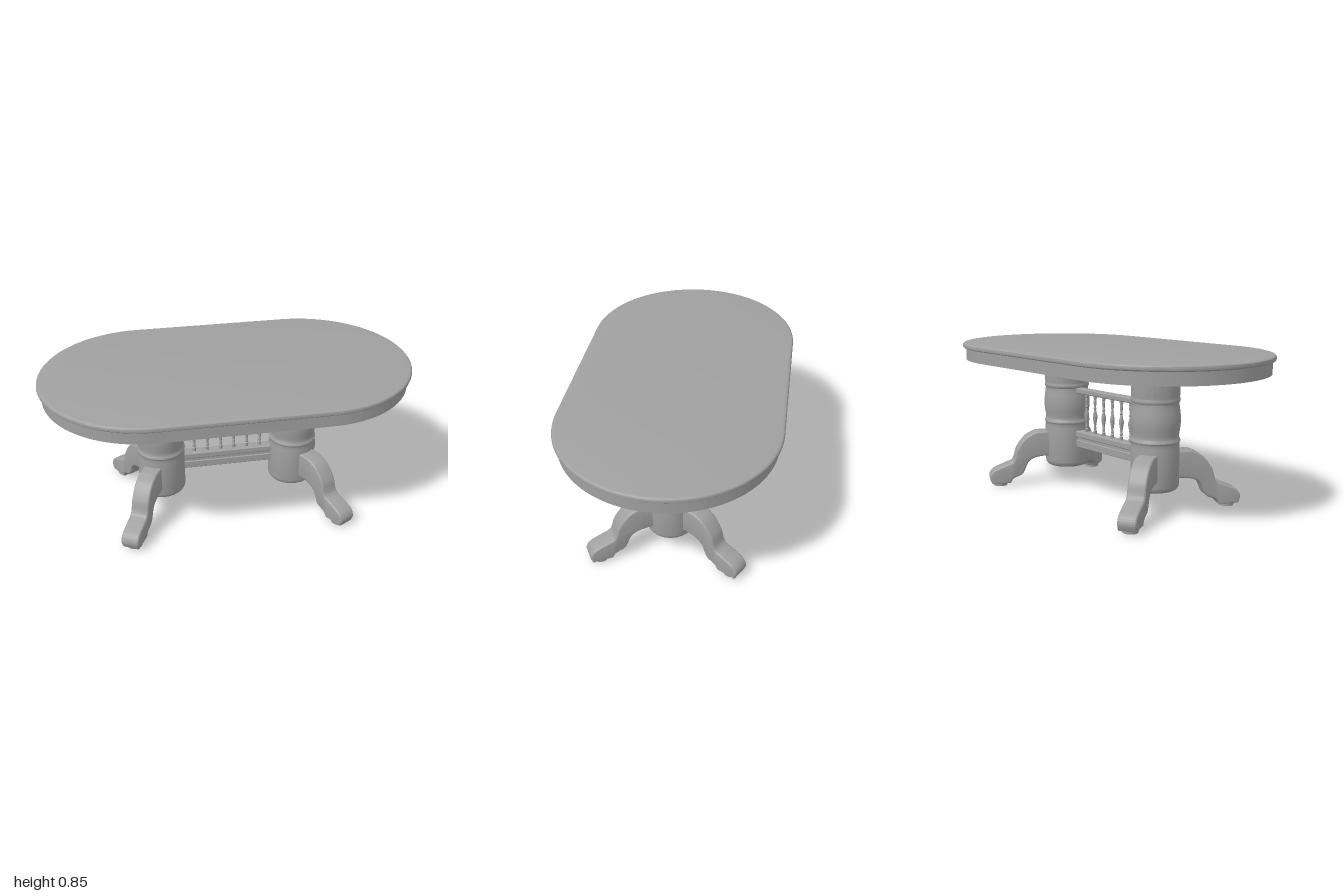
import * as THREE from 'three';
import { toCreasedNormals } from 'three/addons/utils/BufferGeometryUtils.js';
import { RoundedBoxGeometry } from 'three/addons/geometries/RoundedBoxGeometry.js';

const material = new THREE.MeshStandardMaterial({ color: 0xa0a0a0 });
const V = (x, y) => new THREE.Vector2(x, y);

function add(parent, name, geometry, x = 0, y = 0, z = 0) {
  const mesh = new THREE.Mesh(geometry, material);
  mesh.name = name;
  mesh.position.set(x, y, z);
  parent.add(mesh);
  return mesh;
}

const lathe = (points, segments) =>
  toCreasedNormals(new THREE.LatheGeometry(points.map(p => V(...p)), segments), 0.6);

// Oval outline: two half circles joined by straight sides
const HALF_STRAIGHT = 0.434;
function oval(radius, Type = THREE.Shape) {
  const path = new Type();
  path.absarc(HALF_STRAIGHT, 0, radius, -Math.PI / 2, Math.PI / 2, false);
  path.absarc(-HALF_STRAIGHT, 0, radius, Math.PI / 2, Math.PI * 1.5, false);
  path.closePath();
  return path;
}

// Flat slab lying in xz, growing upwards
function slab(shape, options) {
  const g = new THREE.ExtrudeGeometry(shape, { curveSegments: 32, ...options });
  g.rotateX(-Math.PI / 2);
  return toCreasedNormals(g, 0.6);
}

// Scrolled leg: side profile along +x, thickness centred on z
function legGeometry() {
  const thickness = 0.1, bevel = 0.01;
  const upper = [[0.19, 0.321], [0.25, 0.29], [0.303, 0.223], [0.33, 0.15],
    [0.378, 0.126], [0.445, 0.096], [0.469, 0.057], [0.457, 0.017]];
  const lower = [[0.348, 0.017], [0.328, 0.045], [0.276, 0.07], [0.241, 0.138],
    [0.2, 0.165], [0.15, 0.173]];
  const shape = new THREE.Shape();
  shape.moveTo(0.08, 0.175);
  shape.lineTo(0.08, 0.322);
  shape.lineTo(...upper[0]);
  shape.splineThru(upper.slice(1).map(p => V(...p)));
  shape.lineTo(...lower[0]);
  shape.splineThru(lower.slice(1).map(p => V(...p)));
  shape.closePath();
  const g = new THREE.ExtrudeGeometry(shape, {
    depth: thickness - 2 * bevel, curveSegments: 24,
    bevelSize: bevel, bevelThickness: bevel, bevelOffset: -bevel, bevelSegments: 3,
  });
  g.translate(0, 0, -thickness / 2 + bevel);
  return toCreasedNormals(g, 0.6);
}

export function createModel() {
  const table = new THREE.Group();
  table.name = 'pedestalTable';

  // Table top with a moulded edge
  add(table, 'tableTop', slab(oval(0.566), {
    depth: 0.002, bevelSize: 0.014, bevelThickness: 0.014, bevelOffset: -0.014, bevelSegments: 3,
  }), 0, 0.829, 0);

  // Hollow apron under the top
  const ring = oval(0.547);
  ring.holes.push(oval(0.517, THREE.Path));
  add(table, 'apron', slab(ring, { depth: 0.069, bevelEnabled: false }), 0, 0.749, 0);

  // Turned columns, each with two splayed legs
  const column = lathe([
    [0, 0.115], [0.108, 0.115], [0.119, 0.121], [0.127, 0.132], [0.13, 0.145],
    [0.13, 0.35], [0.128, 0.368], [0.13, 0.373], [0.133, 0.379], [0.132, 0.386],
    [0.127, 0.393], [0.125, 0.402], [0.127, 0.42], [0.131, 0.445], [0.134, 0.475],
    [0.134, 0.5], [0.131, 0.535], [0.126, 0.565], [0.125, 0.582], [0.129, 0.588],
    [0.131, 0.596], [0.129, 0.604], [0.127, 0.611], [0.129, 0.618], [0.129, 0.82], [0, 0.82],
  ], 48);
  const leg = legGeometry();
  const pad = new THREE.CylinderGeometry(0.042, 0.04, 0.02, 24);
  const splay = THREE.MathUtils.degToRad(61);
  for (const side of [-1, 1]) {
    const pedestal = new THREE.Group();
    pedestal.name = side > 0 ? 'leftPedestal' : 'rightPedestal';
    pedestal.position.set(side * 0.375, 0, 0.003);
    add(pedestal, 'column', column);
    for (const end of [-1, 1]) {
      const foot = new THREE.Group();
      foot.name = end > 0 ? 'frontLeg' : 'backLeg';
      foot.rotation.y = Math.atan2(-end * Math.sin(splay), side * Math.cos(splay));
      add(foot, 'leg', leg);
      add(foot, 'footPad', pad, 0.405, 0.01, 0);
      pedestal.add(foot);
    }
    table.add(pedestal);
  }

  // Stretcher rails between the columns: name, bottom, top, depth, edge radius
  const rails = [['topRail', 0.553, 0.585, 0.05, 0.008], ['spindleRail', 0.295, 0.333, 0.06, 0.008],
    ['railBead', 0.276, 0.297, 0.045, 0.004], ['lowerBeam', 0.238, 0.28, 0.06, 0.004]];
  for (const [name, bottom, top, depth, radius] of rails) {
    add(table, name, new RoundedBoxGeometry(0.54, top - bottom, depth, 3, radius), 0, (bottom + top) / 2, 0);
  }

  // Turned spindles
  const spindle = lathe([
    [0.01, 0.33], [0.01, 0.352], [0.006, 0.357], [0.009, 0.366], [0.006, 0.376],
    [0.008, 0.395], [0.013, 0.425], [0.013, 0.442], [0.008, 0.462], [0.006, 0.475],
    [0.01, 0.481], [0.006, 0.488], [0.008, 0.51], [0.009, 0.526], [0.006, 0.532],
    [0.01, 0.538], [0.01, 0.556],
  ], 16);
  for (let i = 0; i < 6; i++) add(table, 'spindle', spindle, (i - 2.5) * 0.075, 0, 0);

  return table;
}
